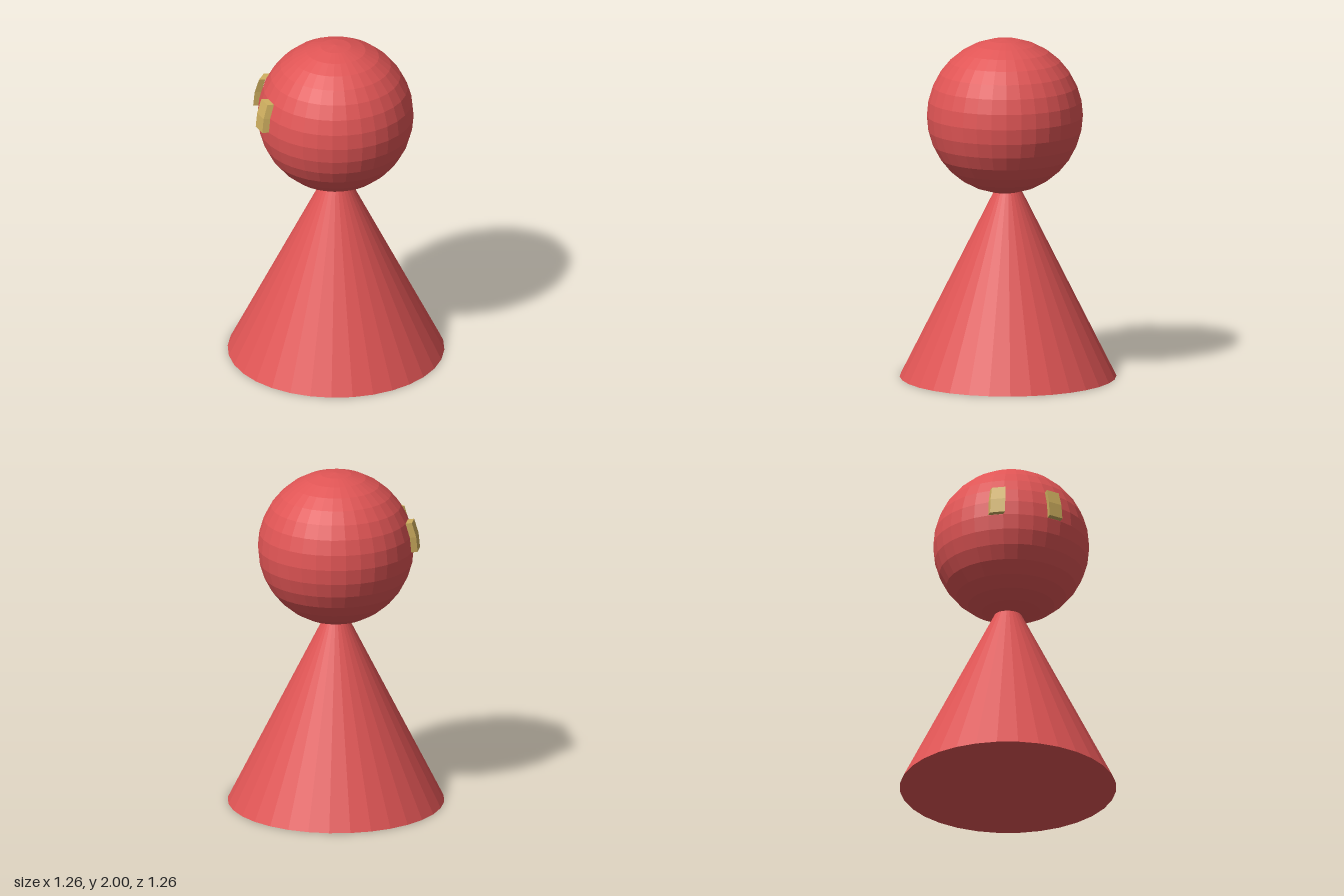
import * as THREE from 'three';

const HEAD = new THREE.Vector3(-0.005, 1.545, 0.018);
const RADIUS = 0.455;
const STEP = Math.PI / 16; // one facet of the head

// Two stacked head facets, starting at azimuth a, raised sideways along -x
function raisedPatch(a) {
  const rise = 0.039;
  const positions = [];
  const index = [];
  const rows = [8, 7, 6]; // polar steps, bottom to top
  for (const row of rows) {
    const theta = row * STEP;
    const corner = (az, out) => positions.push(
      -RADIUS * Math.sin(theta) * Math.cos(az) - out,
      RADIUS * Math.cos(theta) + 0.002,
      RADIUS * Math.sin(theta) * Math.sin(az)
    );
    corner(a, 0);
    corner(a, rise);
    corner(a + STEP, rise);
    corner(a + STEP, 0);
  }
  // Side walls and outer face; the inner side lies against the head
  for (let r = 0; r < rows.length - 1; r++) {
    for (let k = 0; k < 3; k++) {
      const l = r * 4 + k;
      const u = l + 4;
      index.push(l, l + 1, u + 1, l, u + 1, u);
    }
  }
  index.push(8, 9, 10, 8, 10, 11); // top cap
  index.push(0, 2, 1, 0, 3, 2); // bottom cap
  const geometry = new THREE.BufferGeometry();
  geometry.setAttribute('position', new THREE.Float32BufferAttribute(positions, 3));
  geometry.setIndex(index);
  const flat = geometry.toNonIndexed();
  flat.computeVertexNormals();
  return flat;
}

export function createModel() {
  const model = new THREE.Group();
  model.name = 'pawnFigure';

  const red = new THREE.MeshStandardMaterial({ color: 0xe05555, flatShading: true });
  const gold = new THREE.MeshStandardMaterial({ color: 0xd0b060, flatShading: true });

  const add = (name, geometry, material, position) => {
    const mesh = new THREE.Mesh(geometry, material);
    mesh.name = name;
    mesh.position.copy(position);
    model.add(mesh);
  };

  // Cone body, its tip inside the head
  const coneHeight = 1.26;
  add('body', new THREE.ConeGeometry(0.632, coneHeight, 32), red,
    new THREE.Vector3(0, coneHeight / 2, 0));

  // Faceted ball head
  add('head', new THREE.SphereGeometry(RADIUS, 32, 16), red, HEAD);

  // Pair of raised eyes on the -x side
  add('frontEye', raisedPatch(STEP), gold, HEAD);
  add('backEye', raisedPatch(-3 * STEP), gold, HEAD);

  return model;
}
